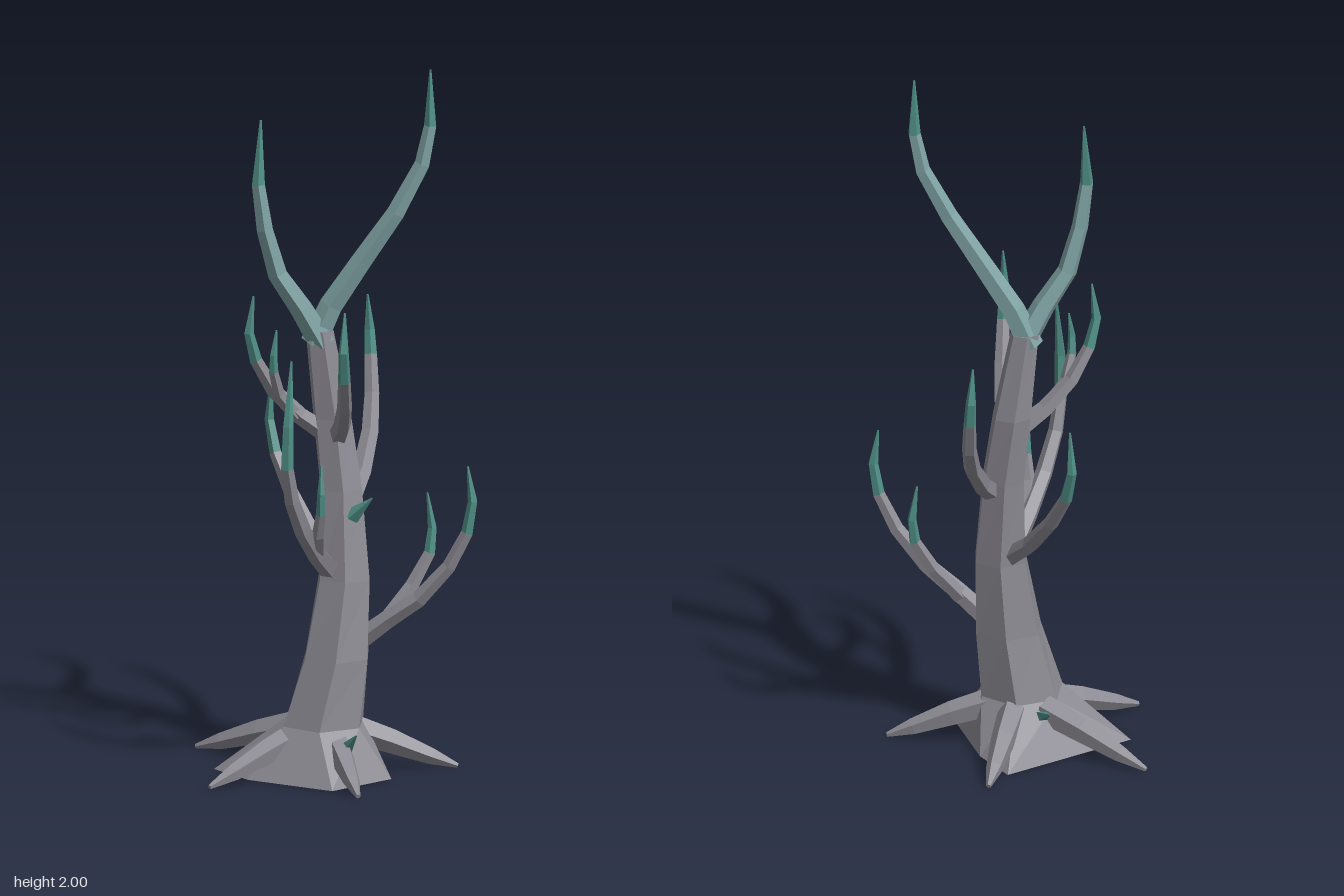
import * as THREE from 'three';

const V = (p) => new THREE.Vector3(...p);
const material = (color) => new THREE.MeshStandardMaterial({ color, flatShading: true, side: THREE.DoubleSide });

// Skin a list of equal-length rings, closing both ends with a fan
function loft(rings) {
  const pos = [];
  const tri = (...pts) => pts.forEach((p) => pos.push(p.x, p.y, p.z));
  const n = rings[0].length;
  for (let r = 0; r < rings.length - 1; r++) {
    for (let i = 0; i < n; i++) {
      const j = (i + 1) % n, a = rings[r], b = rings[r + 1];
      tri(a[i], a[j], b[j]);
      tri(a[i], b[j], b[i]);
    }
  }
  const first = rings[0], last = rings[rings.length - 1];
  for (let i = 1; i < n - 1; i++) {
    tri(first[0], first[i + 1], first[i]);
    tri(last[0], last[i], last[i + 1]);
  }
  const g = new THREE.BufferGeometry();
  g.setAttribute('position', new THREE.Float32BufferAttribute(pos, 3));
  g.computeVertexNormals();
  return g;
}

// Polygon rings along a path, with the frame carried from ring to ring
function sweepRings(points, radii, sides) {
  const p = points.map(V);
  const normal = new THREE.Vector3(0.31, 0.17, 0.93);
  return p.map((c, k) => {
    const t = p[Math.min(k + 1, p.length - 1)].clone().sub(p[Math.max(k - 1, 0)]).normalize();
    normal.addScaledVector(t, -normal.dot(t)).normalize();
    const side = t.clone().cross(normal);
    return Array.from({ length: sides }, (_, i) => {
      const a = (i / sides) * Math.PI * 2;
      return c.clone().addScaledVector(normal, Math.cos(a) * radii[k]).addScaledVector(side, Math.sin(a) * radii[k]);
    });
  });
}

export function createModel() {
  const tree = new THREE.Group();
  tree.name = 'deadTree';
  const wood = material(0x8d8b93);
  const pale = material(0x80a3a4);
  const teal = material(0x4f8f86);
  const add = (name, geometry, mat, parent = tree) => {
    const mesh = new THREE.Mesh(geometry, mat);
    mesh.name = name;
    parent.add(mesh);
  };

  // Trunk: horizontal six-sided rings [x, y, z, radius], leaning and twisting slightly
  const trunkRings = [
    [0.01, 0.14, 0.035, 0.122], [0.04, 0.33, 0.012, 0.1], [0.05, 0.55, -0.015, 0.08],
    [0.03, 0.8, -0.035, 0.064], [0.0, 1.0, -0.04, 0.057], [-0.03, 1.25, -0.02, 0.041],
  ].map(([x, y, z, r], k) => Array.from({ length: 6 }, (_, i) => {
    const a = -0.14 + k * 0.06 + (i * Math.PI) / 3;
    return V([x + r * Math.cos(a), y, z - r * Math.sin(a)]);
  }));
  add('trunk', loft(trunkRings), wood);

  // Flared foot: uneven ground outline up to the trunk
  const foot = [[0.22, 0.03], [0.04, -0.15], [-0.09, -0.225], [-0.27, 0.155], [-0.13, 0.22], [0.135, 0.225]];
  add('flaredFoot', loft([foot.map(([x, z]) => V([x, 0, z])), trunkRings[0]]), wood);

  // Roots: spikes running down to the ground
  for (const [x, z] of [[-0.415, -0.02], [-0.09, -0.335], [0.33, -0.16], [0.24, 0.272], [-0.175, 0.367]]) {
    const path = [[0.2, 0.115], [0.5, 0.078], [0.8, 0.035], [1, 0.008]].map(([f, y]) => [x * f, y, z * f]);
    add('root', loft(sweepRings(path, [0.042, 0.036, 0.024, 0.007], 5)), wood);
  }

  // Branch: tapered path, coloured teal beyond ring number `split`
  function branch(name, points, radius, split, lower = wood) {
    const group = new THREE.Group();
    group.name = name;
    const last = points.length - 1;
    const radii = points.map((_, k) => (k === last ? 0.003 : radius * (1 - 0.62 * (k / last))));
    const rings = sweepRings(points, radii, 5);
    add('limb', loft(rings.slice(0, split + 1)), lower, group);
    add('tip', loft(rings.slice(split)), teal, group);
    tree.add(group);
  }

  // Crown fork
  branch('crownForkLeft', [[-0.045, 1.21, -0.015], [0.0, 1.32, -0.035], [0.08, 1.45, -0.065], [0.17, 1.59, -0.095],
    [0.235, 1.73, -0.13], [0.254, 1.84, -0.142], [0.255, 2.0, -0.14]], 0.038, 5, pale);
  branch('crownForkRight', [[-0.02, 1.21, -0.02], [-0.065, 1.32, 0.025], [-0.115, 1.42, 0.07], [-0.14, 1.55, 0.098],
    [-0.153, 1.68, 0.112], [-0.157, 1.86, 0.09]], 0.038, 4, pale);

  // Side branches curling upward, some with a smaller offshoot
  branch('lowLeftBranch', [[0.09, 0.37, -0.03], [0.17, 0.435, -0.045], [0.26, 0.5, -0.06], [0.345, 0.6, -0.08],
    [0.395, 0.7, -0.092], [0.41, 0.79, -0.096], [0.397, 0.89, -0.09]], 0.03, 4);
  branch('lowLeftOffshoot', [[0.16, 0.425, -0.05], [0.21, 0.52, -0.115], [0.245, 0.61, -0.155],
    [0.247, 0.68, -0.167], [0.235, 0.78, -0.16]], 0.024, 2);
  branch('rightBranch', [[0.02, 0.56, -0.03], [-0.08, 0.64, -0.08], [-0.17, 0.74, -0.125], [-0.235, 0.84, -0.155],
    [-0.262, 0.93, -0.17], [-0.255, 1.05, -0.167]], 0.029, 3);
  branch('frontBranch', [[0.03, 0.57, 0.02], [0.03, 0.64, 0.11], [0.03, 0.73, 0.2], [0.03, 0.83, 0.267],
    [0.032, 0.93, 0.3], [0.034, 1.05, 0.298], [0.028, 1.23, 0.265]], 0.032, 4);
  branch('frontOffshoot', [[0.035, 0.65, 0.12], [0.06, 0.71, 0.165], [0.082, 0.78, 0.19],
    [0.088, 0.84, 0.2], [0.085, 0.92, 0.194]], 0.021, 2);
  branch('backBranch', [[0.05, 0.76, -0.05], [0.04, 0.82, -0.14], [0.015, 0.91, -0.24], [-0.015, 1.0, -0.31],
    [-0.04, 1.1, -0.352], [-0.05, 1.17, -0.364], [-0.05, 1.27, -0.353]], 0.031, 4);
  branch('highLeftBranch', [[0.02, 0.94, -0.03], [0.075, 1.0, 0.045], [0.12, 1.07, 0.12], [0.155, 1.17, 0.19],
    [0.168, 1.26, 0.22], [0.164, 1.37, 0.205]], 0.029, 3);
  branch('highRightBranch', [[-0.01, 0.95, -0.03], [-0.07, 1.01, 0.025], [-0.125, 1.09, 0.08], [-0.157, 1.18, 0.122],
    [-0.168, 1.26, 0.142], [-0.157, 1.365, 0.135]], 0.029, 3);
  branch('highRightOffshoot', [[-0.075, 1.01, 0.035], [-0.1, 1.08, 0.09], [-0.103, 1.15, 0.118],
    [-0.1, 1.2, 0.124], [-0.095, 1.27, 0.115]], 0.02, 2);

  // Small thorns
  for (const [from, to] of [
    [[0.08, 0.73, 0.0], [0.145, 0.79, 0.0]],
    [[0.11, 0.08, 0.11], [0.17, 0.145, 0.145]],
    [[-0.08, 0.1, -0.03], [-0.14, 0.135, -0.075]],
  ]) add('thorn', loft(sweepRings([from, to], [0.024, 0.002], 4)), teal);

  return tree;
}
